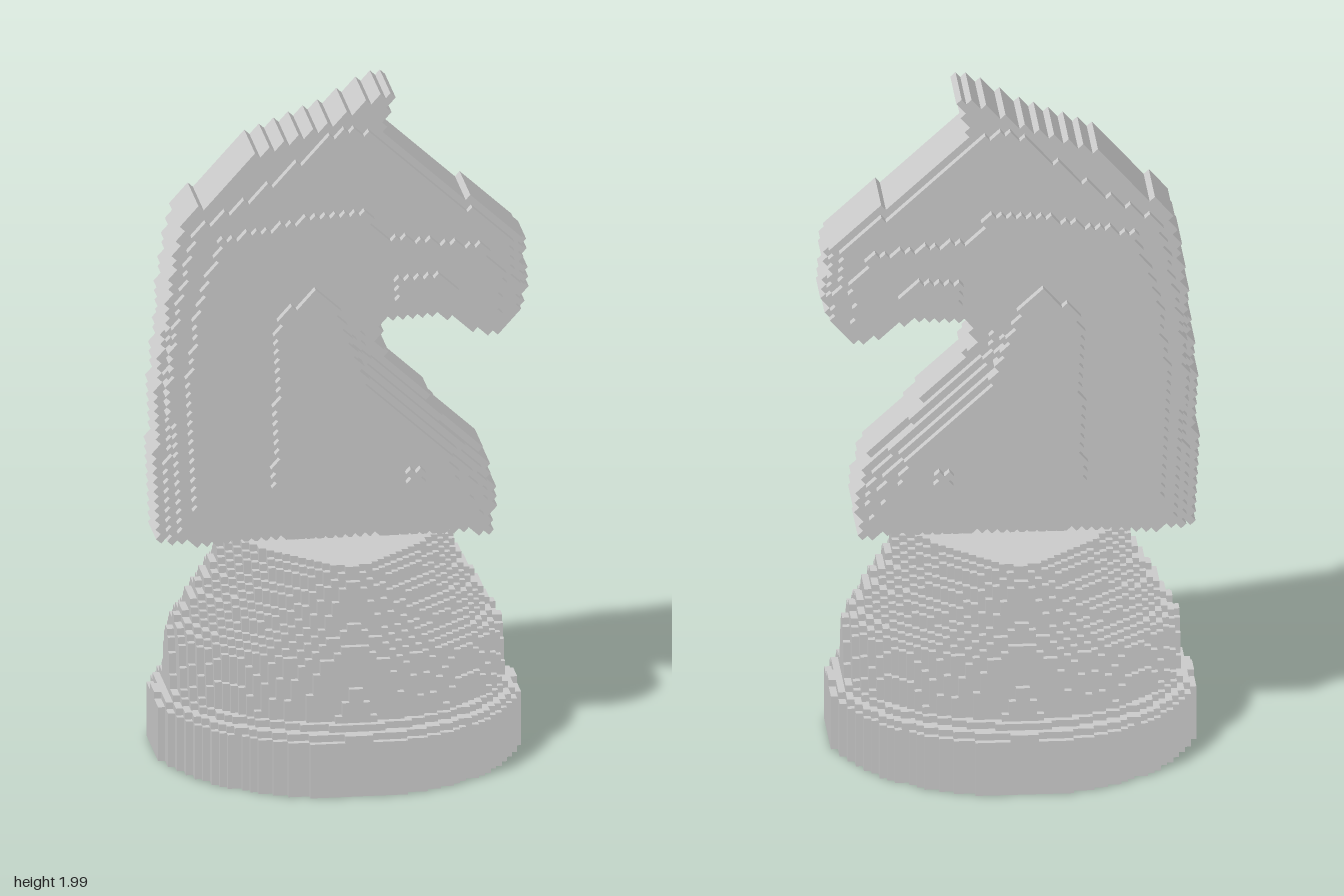
import * as THREE from 'three';

const material = new THREE.MeshStandardMaterial({ color: 0xcccccc, flatShading: true });

// Outer faces of a centred block grid: n cells per axis, s cell size per axis
function blockMesh(name, n, s, filled) {
  const pos = [];
  const at = (c) => c.every((v, a) => v >= 0 && v < n[a]) && filled(...c);
  const corners = [[0, 0], [1, 0], [1, 1], [0, 0], [1, 1], [0, 1]];
  for (let i = 0; i < n[0]; i++) for (let j = 0; j < n[1]; j++) for (let k = 0; k < n[2]; k++) {
    const cell = [i, j, k];
    if (!at(cell)) continue;
    for (let d = 0; d < 3; d++) for (const side of [0, 1]) {
      const next = [...cell];
      next[d] += side ? 1 : -1;
      if (at(next)) continue;
      for (const [p, q] of side ? corners : [...corners].reverse()) {
        const c = [...cell];
        c[d] += side;
        c[(d + 1) % 3] += p;
        c[(d + 2) % 3] += q;
        pos.push(...c.map((v, a) => (v - n[a] / 2) * s[a]));
      }
    }
  }
  const geometry = new THREE.BufferGeometry();
  geometry.setAttribute('position', new THREE.Float32BufferAttribute(pos, 3));
  geometry.computeVertexNormals();
  const mesh = new THREE.Mesh(geometry, material);
  mesh.name = name;
  return mesh;
}

function inside(poly, x, y) {
  let hit = false;
  for (let i = 0, j = poly.length - 1; i < poly.length; j = i++) {
    const [ax, ay] = poly[i], [bx, by] = poly[j];
    if (ay > y !== by > y && x < ((bx - ax) * (y - ay)) / (by - ay) + ax) hit = !hit;
  }
  return hit;
}

// Pedestal sections: height, half width, half depth, roundness (2 is an ellipse)
const sections = [
  [0, 0.53, 0.535, 2], [0.17, 0.53, 0.535, 2], [0.175, 0.51, 0.505, 2], [0.21, 0.485, 0.46, 2],
  [0.37, 0.478, 0.455, 1.75], [0.42, 0.44, 0.44, 1.65], [0.46, 0.425, 0.42, 1.6],
  [0.52, 0.385, 0.415, 1.5], [0.59, 0.35, 0.41, 1.35], [0.65, 0.33, 0.385, 1.25],
];

function makePedestal() {
  const s = 0.0203, n = [54, 32, 54];
  const mesh = blockMesh('pedestal', n, [s, s, s], (i, j, k) => {
    const y = (j + 0.5) * s;
    const b = sections.findIndex((r) => r[0] >= y);
    const lo = sections[b - 1], hi = sections[b];
    const t = (y - lo[0]) / (hi[0] - lo[0]);
    const [w, d, p] = [1, 2, 3].map((c) => lo[c] + (hi[c] - lo[c]) * t);
    const x = Math.abs(i + 0.5 - n[0] / 2) * s, z = Math.abs(k + 0.5 - n[2] / 2) * s;
    return (x / w) ** p + (z / d) ** p <= 1;
  });
  mesh.position.set(-0.012, (n[1] * s) / 2, 0);
  return mesh;
}

// Horse relief: nested outlines, each one thicker than the last
const silhouette = [
  [-0.53, 0.65], [0.43, 0.65], [0.44, 0.76], [0.41, 0.88], [0.35, 0.95], [0.14, 1.17],
  [0.1, 1.23], [0.11, 1.31], [0.28, 1.32], [0.36, 1.27], [0.43, 1.24], [0.51, 1.3],
  [0.54, 1.39], [0.52, 1.46], [0.53, 1.53], [0.24, 1.76], [0.16, 1.84], [0.12, 1.88],
  [0.145, 1.99], [0.03, 1.94], [-0.08, 1.88], [-0.25, 1.82], [-0.47, 1.61], [-0.5, 1.45],
  [-0.535, 1.15], [-0.54, 0.9], [-0.54, 0.72],
];
const body = [
  [-0.48, 0.68], [0.4, 0.68], [0.41, 0.78], [0.38, 0.88], [0.07, 1.18], [0.05, 1.29],
  [0.12, 1.33], [0.3, 1.34], [0.43, 1.29], [0.5, 1.39], [0.49, 1.53], [0.08, 1.87],
  [0.0, 1.9], [-0.2, 1.74], [-0.43, 1.6], [-0.48, 1.4], [-0.51, 1.15],
];
const muscle = [
  [-0.44, 0.74], [0.35, 0.74], [0.38, 0.8], [0.35, 0.88], [0.05, 1.17], [0.02, 1.29],
  [0.12, 1.36], [0.32, 1.36], [0.43, 1.33], [0.47, 1.42], [0.4, 1.53], [0.12, 1.57],
  [0.05, 1.65], [-0.12, 1.63], [-0.36, 1.58], [-0.43, 1.38], [-0.46, 1.1],
];
const shoulder = [
  [-0.21, 0.81], [0.32, 0.81], [0.33, 0.87], [0.06, 1.14], [0.0, 1.29],
  [-0.02, 1.36], [-0.1, 1.43], [-0.2, 1.33],
];
const cheek = [[0.15, 1.38], [0.3, 1.38], [0.33, 1.42], [0.28, 1.45], [0.15, 1.45]];

function layersAt(x, y) {
  if (!inside(silhouette, x, y)) return 0;
  if (Math.hypot(x - 0.2, y - 0.855) < 0.025) return 8;
  if (inside(shoulder, x, y) || inside(cheek, x, y)) return 7;
  if (inside(muscle, x, y)) return 6;
  if (inside(body, x, y)) return 5;
  // Thin rim at the nape, nose and chest
  const chest = y < 1.2 && y > 0.8 && x + y > 1.28;
  return x < -0.51 || x > 0.515 || chest ? 3 : 4;
}

function makeHorse() {
  const s = 0.0203, n = [90, 90, 16], angle = (-42 * Math.PI) / 180, midY = 1.32;
  const cos = Math.cos(angle), sin = Math.sin(angle);
  const layers = [];
  for (let i = 0; i < n[0]; i++) {
    for (let j = 0; j < n[1]; j++) {
      const u = (i + 0.5 - n[0] / 2) * s, v = (j + 0.5 - n[1] / 2) * s;
      layers.push(layersAt(u * cos - v * sin, u * sin + v * cos + midY));
    }
  }
  const mesh = blockMesh('horseHead', n, [s, s, 0.0278],
    (i, j, k) => Math.abs(k + 0.5 - n[2] / 2) < layers[i * n[1] + j]);
  mesh.rotation.z = angle;
  mesh.position.y = midY;
  return mesh;
}

export function createModel() {
  const model = new THREE.Group();
  model.name = 'chessKnight';
  model.add(makePedestal(), makeHorse());
  return model;
}
